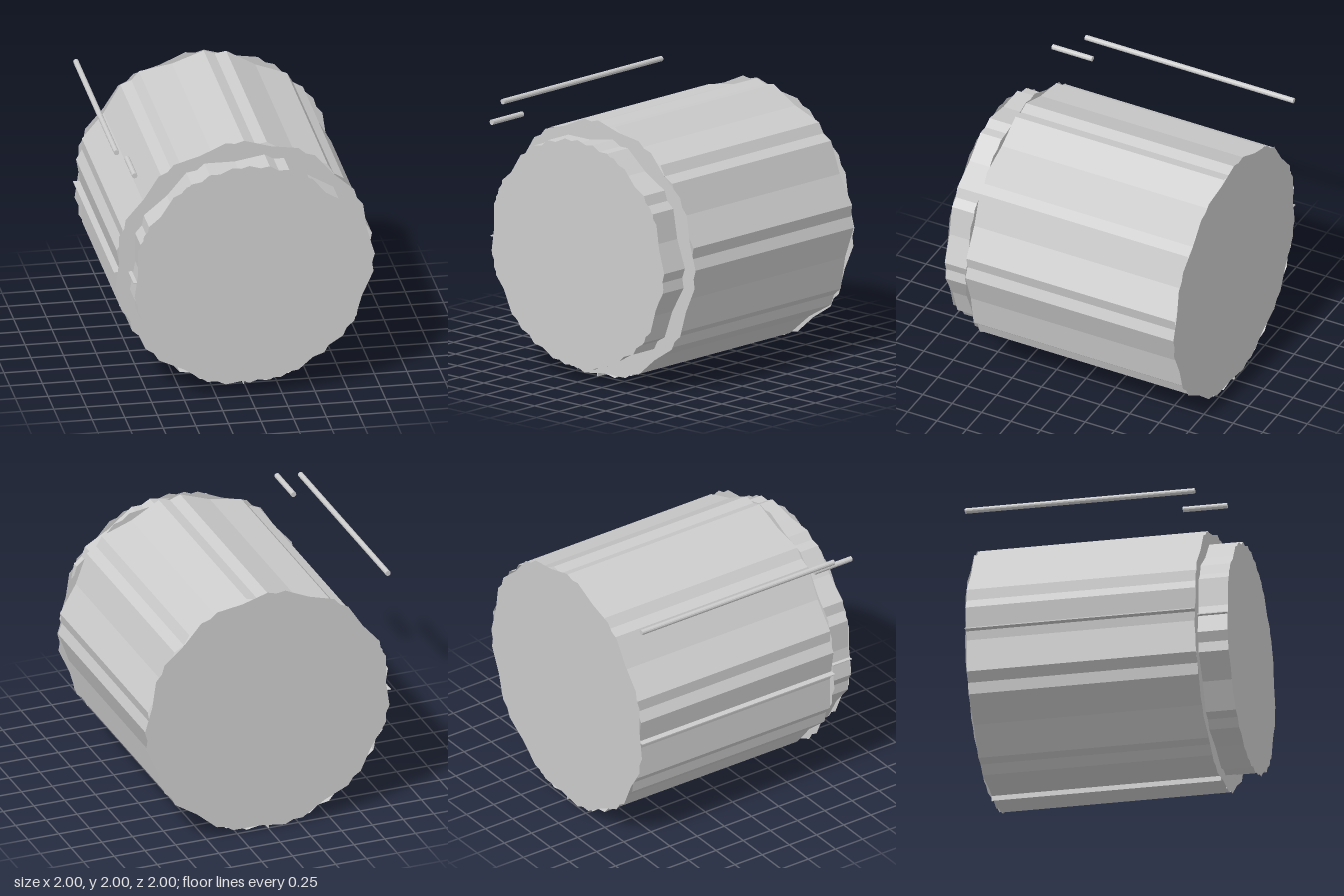
import * as THREE from 'three';

const material = new THREE.MeshStandardMaterial({
  color: 0xcccccc, flatShading: true, side: THREE.DoubleSide,
});
const AXIS_Y = 1;

function add(group, name, geometry) {
  const mesh = new THREE.Mesh(geometry, material);
  mesh.name = name;
  group.add(mesh);
}

// Open prism along z with one corner at the given angle (degrees)
function wall(radius, sides, z0, z1, degrees) {
  const g = new THREE.CylinderGeometry(radius, radius, z1 - z0, sides, 1, true);
  g.rotateX(Math.PI / 2);
  g.rotateZ(THREE.MathUtils.degToRad(degrees + 90));
  return g.translate(0, AXIS_Y, (z0 + z1) / 2);
}

// Flat polygon end with one corner at the given angle (degrees)
function disc(radius, sides, z, degrees, facing) {
  const g = new THREE.CircleGeometry(radius, sides);
  if (facing < 0) g.rotateY(Math.PI);
  g.rotateZ(THREE.MathUtils.degToRad(degrees));
  return g.translate(0, AXIS_Y, z);
}

function rod(x, y, z0, z1) {
  const g = new THREE.CylinderGeometry(0.021, 0.021, z1 - z0, 12);
  return g.rotateX(Math.PI / 2).translate(x, y, (z0 + z1) / 2);
}

export function createModel() {
  const model = new THREE.Group();
  model.name = 'drum';

  // Main drum: two interleaved nine-sided shells
  for (const a of [0, 90]) add(model, 'drumWall', wall(0.993, 9, -1, 0.77, a));

  // Eleven-sided end plates, slightly overhanging the shells
  for (const [z, facing] of [[-1, -1], [0.77, 1]]) {
    for (const a of [0, 90]) {
      // the turned-around plate is mirrored, so its corner starts at 180
      add(model, 'drumEnd', disc(1, 11, z, facing < 0 ? a + 180 : a, facing));
    }
  }

  // Narrower front collar with a rippled face
  for (const a of [0, 30]) add(model, 'collarWall', wall(0.89, 9, 0.77, 1, a));
  for (const a of [0, 90]) add(model, 'collarFace', disc(0.89, 11, 1, a, 1));
  for (const a of [0, 30]) add(model, 'collarFace', disc(0.89, 9, 1, a, 1));

  // Thin seam fins at the side and underneath
  add(model, 'sideSeam', new THREE.BoxGeometry(0.05, 0.008, 1.77).translate(-0.975, 0.99, -0.115));
  add(model, 'bottomSeam', new THREE.BoxGeometry(0.008, 0.04, 1.77).translate(-0.005, 0.025, -0.115));
  add(model, 'collarSeam', new THREE.BoxGeometry(0.03, 0.008, 0.23).translate(-0.875, 0.99, 0.885));

  // Separate rods beside the upper corner
  add(model, 'longRod', rod(-0.979, 1.975, -1, 0.77));
  add(model, 'shortRod', rod(-0.88, 1.875, 0.66, 1));

  return model;
}
